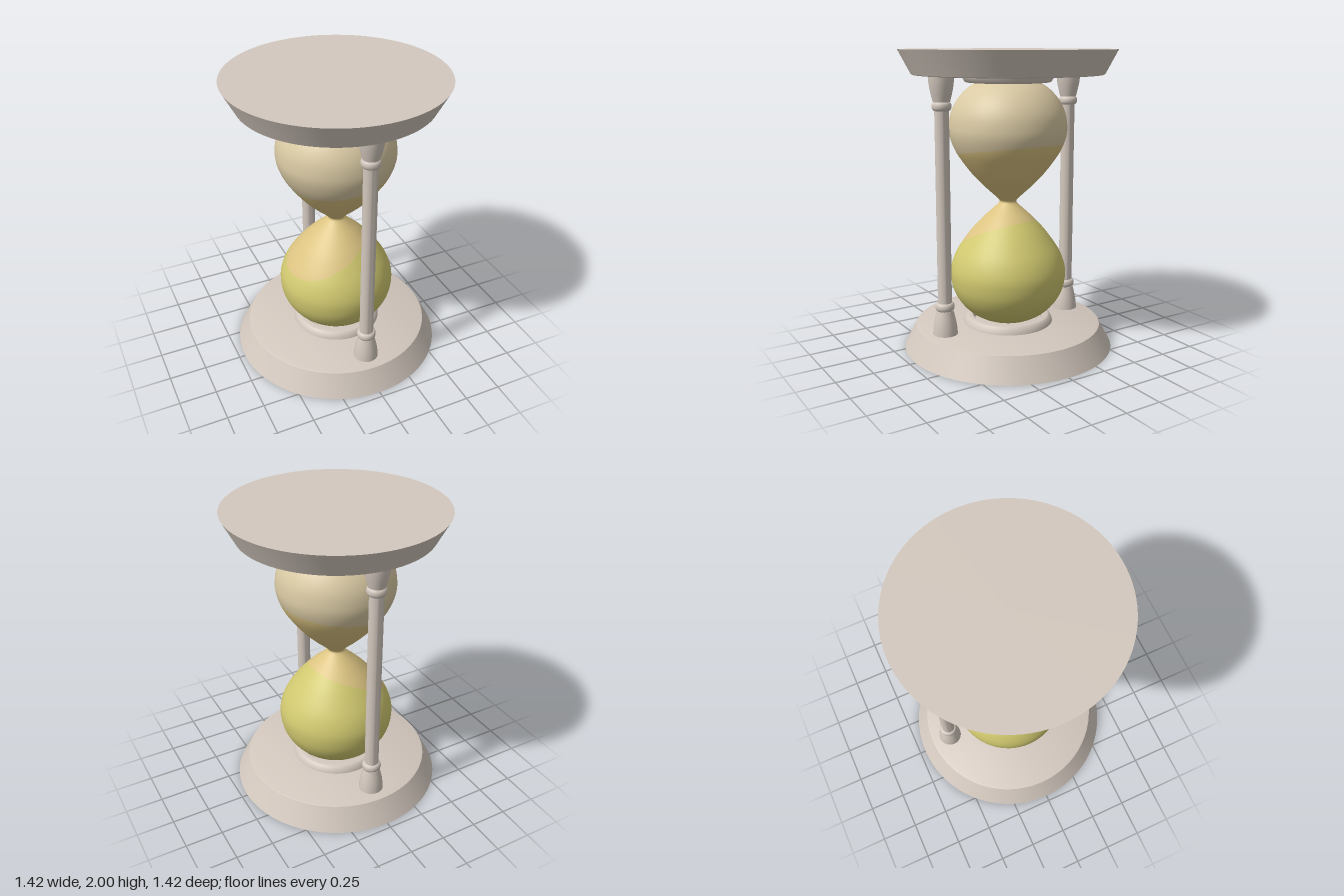
import * as THREE from 'three';
import { toCreasedNormals } from 'three/addons/utils/BufferGeometryUtils.js';

const mat = (name, color) => {
  const m = new THREE.MeshStandardMaterial({ color });
  m.name = name;
  return m;
};

// Half of the glass outline (radius, y), mirrored about the neck
const half = [
  [0.1, 0.168], [0.2, 0.207], [0.275, 0.257], [0.335, 0.325], [0.375, 0.405], [0.39, 0.49],
  [0.385, 0.56], [0.357, 0.64], [0.312, 0.715], [0.24, 0.81], [0.165, 0.89], [0.1, 0.95], [0.064, 0.985],
];
const outline = new THREE.SplineCurve([
  ...half, [0.056, 1], ...half.slice().reverse().map(([r, y]) => [r, 2 - y]),
].map(([r, y]) => new THREE.Vector2(r, y)));

// Tilted levels where the glass changes colour
const lowerLevel = (x, z) => 0.805 + 0.44 * x - 0.06 * z;
const upperLevel = (x) => 1.345 + 0.16 * x;

// Outline parameter at which the surface crosses a level, for one angle
function crossing(level, a) {
  let lo = 0, hi = 1;
  for (let i = 0; i < 24; i++) {
    const t = (lo + hi) / 2, p = outline.getPoint(t);
    if (p.y < level(p.x * Math.sin(a), p.x * Math.cos(a))) lo = t; else hi = t;
  }
  return lo;
}

// Part of the glass surface between two levels (null means the end of the outline)
function glassBand(from, to) {
  const around = 64, rows = 36, pos = [], nor = [], index = [];
  for (let i = 0; i <= around; i++) {
    const a = (i / around) * Math.PI * 2, s = Math.sin(a), c = Math.cos(a);
    const t0 = from ? crossing(from, a) : 0, t1 = to ? crossing(to, a) : 1;
    for (let j = 0; j <= rows; j++) {
      const t = t0 + (t1 - t0) * j / rows;
      const p = outline.getPoint(t), d = outline.getTangent(t);
      pos.push(p.x * s, p.y, p.x * c);
      nor.push(d.y * s, -d.x, d.y * c);
      if (i < around && j < rows) {
        const q = i * (rows + 1) + j, n = q + rows + 1;
        index.push(q, n, n + 1, q, n + 1, q + 1);
      }
    }
  }
  const g = new THREE.BufferGeometry();
  g.setAttribute('position', new THREE.Float32BufferAttribute(pos, 3));
  g.setAttribute('normal', new THREE.Float32BufferAttribute(nor, 3));
  g.setIndex(index);
  return g;
}

const lathe = (points, segments) => toCreasedNormals(
  new THREE.LatheGeometry(points.map(([r, y]) => new THREE.Vector2(r, y)), segments), 0.6);

export function createModel() {
  const group = new THREE.Group();
  group.name = 'hourglass';
  const wood = mat('pale wood', 0xd3c8be);
  const cream = mat('cream glass', 0xdacaa4);
  const sand = mat('golden sand', 0xdcc482);
  const yellow = mat('yellow sand', 0xd1c970);

  const add = (parent, name, geometry, material) => {
    const m = new THREE.Mesh(geometry, material);
    m.name = name;
    parent.add(m);
    return m;
  };

  // Glass bulbs in three colours
  add(group, 'lowerSand', glassBand(null, lowerLevel), yellow);
  add(group, 'neckSand', glassBand(lowerLevel, upperLevel), sand);
  add(group, 'upperGlass', glassBand(upperLevel, null), cream);

  // Plate and collar, used at the bottom and flipped at the top
  const plate = lathe([[0, 0], [0.71, 0], [0.632, 0.148], [0.628, 0.156], [0.618, 0.16], [0, 0.16]], 96);
  const collar = lathe([[0.305, 0.158], [0.302, 0.175], [0.285, 0.205], [0.275, 0.21], [0.245, 0.21],
    [0.235, 0.2], [0.235, 0.158]], 64);
  for (const end of ['base', 'top']) {
    const g = new THREE.Group();
    g.name = end;
    add(g, end + 'Plate', plate, wood);
    add(g, end + 'Collar', collar, wood);
    if (end === 'top') {
      g.rotation.x = Math.PI;
      g.position.y = 2;
    }
    group.add(g);
  }

  // Turned posts: flared foot, bead, shaft, and the same again at the top
  const foot = [[0.082, 0.158], [0.08, 0.19], [0.074, 0.235], [0.063, 0.285], [0.054, 0.32]];
  const bead = [];
  for (let i = 0; i <= 8; i++) {
    const a = -Math.PI / 2 + (i / 8) * Math.PI;
    bead.push([0.046 + 0.017 * Math.cos(a), 0.347 + 0.028 * Math.sin(a)]);
  }
  const lower = [...foot, ...bead];
  const post = lathe([...lower, ...lower.slice().reverse().map(([r, y]) => [r, 2 - y])], 32);
  for (const [name, z] of [['frontPost', 0.488], ['backPost', -0.488]]) {
    add(group, name, post, wood).position.z = z;
  }
  return group;
}
